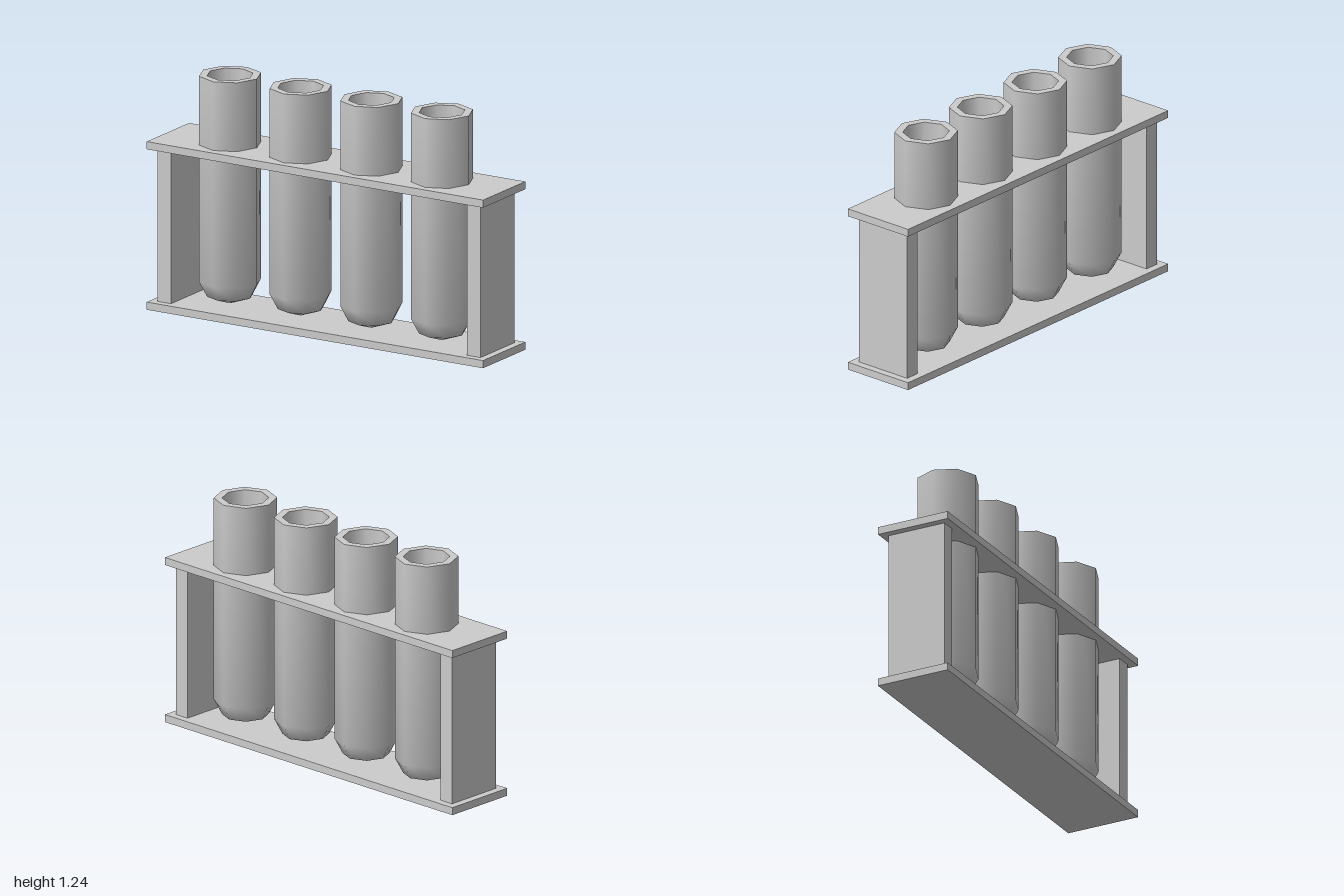
import * as THREE from 'three';
import { toCreasedNormals } from 'three/addons/utils/BufferGeometryUtils.js';

const material = new THREE.MeshStandardMaterial({ color: 0xcccccc });

function box(name, w, h, d, x, y) {
  const mesh = new THREE.Mesh(new THREE.BoxGeometry(w, h, d), material);
  mesh.name = name;
  mesh.position.set(x, y, 0);
  return mesh;
}

export function createModel() {
  const rack = new THREE.Group();
  rack.name = 'testTubeRack';

  // Base and upper plates
  rack.add(box('basePlate', 2, 0.04, 0.4, 0, 0.02));
  rack.add(box('topPlate', 2, 0.04, 0.4, 0, 0.86));

  // End supports
  rack.add(box('leftSupport', 0.08, 0.8, 0.32, 0.92, 0.44));
  rack.add(box('rightSupport', 0.08, 0.8, 0.32, -0.92, 0.44));

  // Eight-sided hollow tubes: up the outside, over the rim, down the inside
  const profile = [
    [0, 0.042], [0.118, 0.084], [0.16, 0.164], [0.16, 1.24],
    [0.118, 1.24], [0.118, 0.18], [0, 0.18],
  ].map(([r, y]) => new THREE.Vector2(r, y));
  const tubeGeometry = toCreasedNormals(new THREE.LatheGeometry(profile, 8), 1);

  for (let i = 0; i < 4; i++) {
    const tube = new THREE.Mesh(tubeGeometry, material);
    tube.name = `testTube${i + 1}`;
    tube.position.x = -0.63 + i * 0.42;
    rack.add(tube);
  }
  return rack;
}
